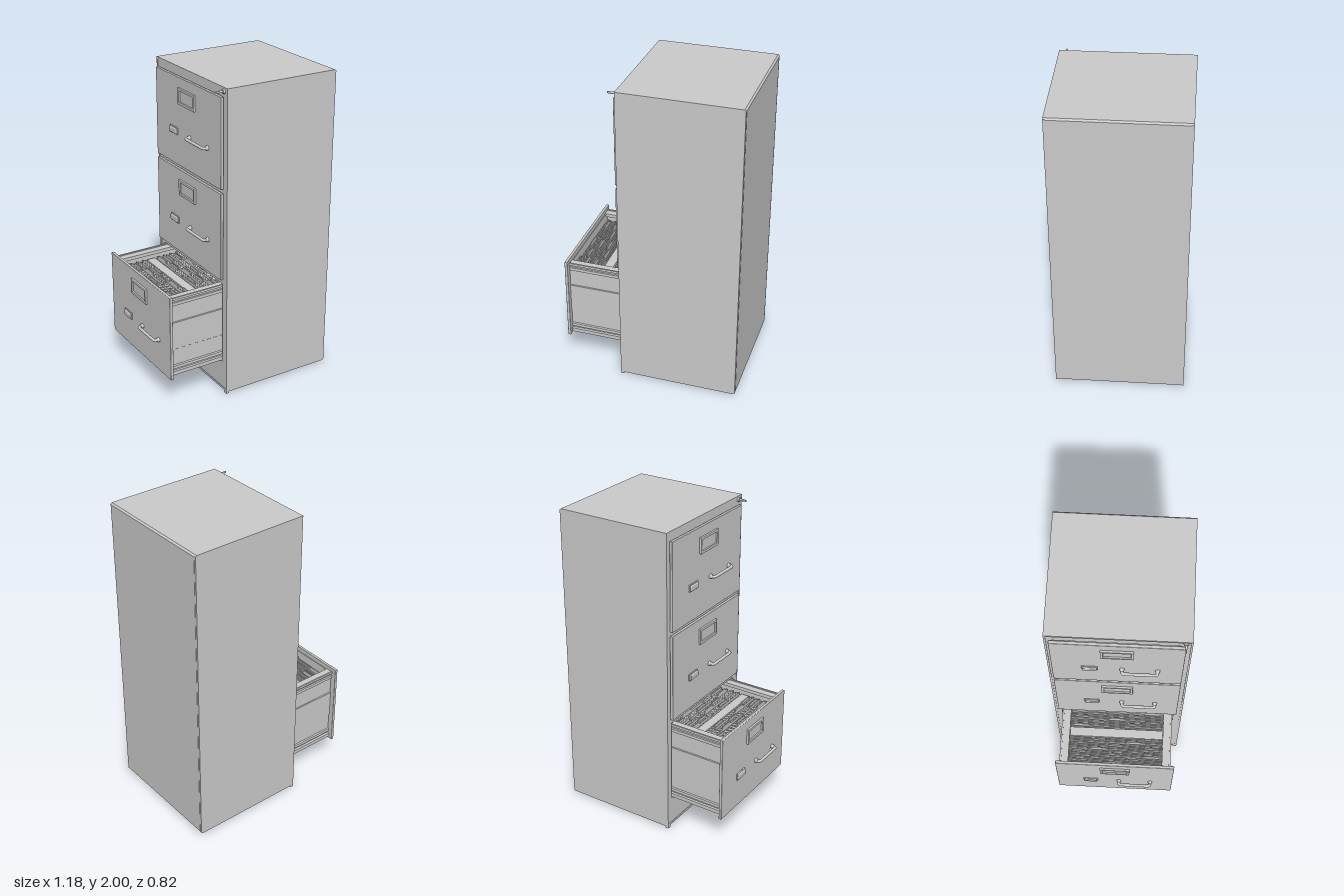
import * as THREE from 'three';
import { RoundedBoxGeometry } from 'three/addons/geometries/RoundedBoxGeometry.js';

const grey = new THREE.MeshStandardMaterial({ color: 0xcccccc });
const ZC = -0.005; // the drawers sit slightly off the centre line

function add(parent, name, geometry) {
  const mesh = new THREE.Mesh(geometry, grey);
  mesh.name = name;
  parent.add(mesh);
  return mesh;
}

// Box given by its limits on each axis
function box(parent, name, [x0, x1], [y0, y1], [z0, z1], radius = 0) {
  const size = [x1 - x0, y1 - y0, z1 - z0];
  const geometry = radius ? new RoundedBoxGeometry(...size, 2, radius) : new THREE.BoxGeometry(...size);
  const mesh = add(parent, name, geometry);
  mesh.position.set((x0 + x1) / 2, (y0 + y1) / 2, (z0 + z1) / 2);
  return mesh;
}

const outline = (points) => new THREE.Shape(points.map((p) => new THREE.Vector2(...p)));
const rect = (w0, w1, h0, h1) => outline([[w0, h0], [w1, h0], [w1, h1], [w0, h1]]);

// Extrude a (-z, y) shape along x
function alongX(shape, x0, length) {
  return new THREE.ExtrudeGeometry(shape, { depth: length, bevelEnabled: false })
    .rotateY(Math.PI / 2).translate(x0, 0, 0);
}

function cabinet() {
  const g = new THREE.Group();
  g.name = 'cabinet';

  // Side plates, chamfered at the back edges
  const side = outline([[-0.175, 0.012], [0.58, 0.012], [0.588, 0.02], [0.588, 1.992], [0.58, 2], [-0.175, 2]]);
  for (const s of [-1, 1]) {
    const geometry = new THREE.ExtrudeGeometry(side, { depth: 0.012, bevelEnabled: false });
    add(g, 'sidePanel', geometry).position.z = s * 0.405 - 0.006;
  }

  // Top, back and bottom as one folded sheet
  const wrap = outline([[-0.175, 2], [0.58, 2], [0.59, 1.99], [0.59, 0.026], [0.58, 0.016], [-0.175, 0.016],
    [-0.175, 0.03], [0.575, 0.03], [0.575, 1.985], [-0.175, 1.985]]);
  add(g, 'topBackAndBottom', new THREE.ExtrudeGeometry(wrap, { depth: 0.798, bevelEnabled: false }))
    .position.z = -0.399;

  // Face frame with an opening for each drawer
  const frame = rect(-0.399, 0.399, 0.03, 1.985);
  for (const y of [0.2, 0.79, 1.38]) frame.holes.push(rect(-0.362 - ZC, 0.362 - ZC, y + 0.01, y + 0.555));
  add(g, 'faceFrame', alongX(frame, -0.172, 0.015));

  // Small front feet
  for (const s of [-1, 1]) box(g, 'foot', [-0.175, -0.155], [0, 0.016], [s * 0.398 - 0.013, s * 0.398 + 0.013]);

  // Lock and key
  const lock = add(g, 'lock', new THREE.CylinderGeometry(0.013, 0.015, 0.012, 20).rotateZ(Math.PI / 2));
  lock.position.set(-0.179, 1.977, 0.372);
  const stem = add(g, 'lockBarrel', new THREE.CylinderGeometry(0.007, 0.007, 0.03, 16).rotateZ(Math.PI / 2));
  stem.position.set(-0.193, 1.977, 0.372);
  box(g, 'key', [-0.23, -0.2], [1.971, 1.983], [0.369, 0.375], 0.002);
  return g;
}

// Front panel with its fittings; local x = 0 is the rear of the panel and y = 0 its bottom
function drawerFront() {
  const g = new THREE.Group();
  g.name = 'drawerFront';
  box(g, 'frontPanel', [-0.02, 0], [0, 0.565], [-0.38 + ZC, 0.38 + ZC], 0.004);

  // Label holder: bevelled frame around a recessed card
  const holder = rect(-0.095, 0.095, 0.4, 0.502);
  holder.holes.push(rect(-0.079, 0.079, 0.416, 0.486));
  const ring = new THREE.ExtrudeGeometry(holder, {
    depth: 0.011, bevelThickness: 0.003, bevelSize: 0.003, bevelOffset: -0.003, bevelSegments: 2,
  }).rotateY(Math.PI / 2);
  add(g, 'labelHolder', ring).position.set(-0.03, 0, ZC);
  box(g, 'labelCard', [-0.023, -0.018], [0.41, 0.49], [-0.085 + ZC, 0.085 + ZC]);

  // Thumb latch
  box(g, 'latchPlate', [-0.026, -0.016], [0.194, 0.242], [-0.212, -0.118], 0.004);
  box(g, 'latch', [-0.035, -0.016], [0.2, 0.236], [-0.207, -0.123], 0.006);

  // Bent bar handle with a collar at each foot
  const path = new THREE.CurvePath();
  const v = (x, z) => new THREE.Vector3(x, 0.218, z);
  path.add(new THREE.LineCurve3(v(-0.015, 0.023), v(-0.036, 0.023)));
  path.add(new THREE.QuadraticBezierCurve3(v(-0.036, 0.023), v(-0.051, 0.023), v(-0.051, 0.038)));
  path.add(new THREE.LineCurve3(v(-0.051, 0.038), v(-0.051, 0.214)));
  path.add(new THREE.QuadraticBezierCurve3(v(-0.051, 0.214), v(-0.051, 0.229), v(-0.036, 0.229)));
  path.add(new THREE.LineCurve3(v(-0.036, 0.229), v(-0.015, 0.229)));
  add(g, 'handle', new THREE.TubeGeometry(path, 80, 0.0095, 12));
  for (const z of [0.023, 0.229]) {
    const collar = add(g, 'handleFoot', new THREE.CylinderGeometry(0.016, 0.011, 0.02, 16).rotateZ(-Math.PI / 2));
    collar.position.set(-0.027, 0.218, z);
  }
  return g;
}

// Drawer box with pressed sides, folders and a divider
function drawerBox() {
  const g = new THREE.Group();
  g.name = 'drawerBox';
  const x0 = -0.535, length = 0.7, end = x0 + length;

  // Side section from bottom to top: rails, grooves and a raised middle band
  const section = [[0.335, 0.215], [0.355, 0.215], [0.355, 0.24], [0.338, 0.24], [0.338, 0.255], [0.35, 0.255],
    [0.35, 0.275], [0.342, 0.28], [0.342, 0.388], [0.347, 0.392], [0.347, 0.573], [0.342, 0.577],
    [0.342, 0.69], [0.35, 0.69], [0.35, 0.71], [0.338, 0.71], [0.338, 0.73], [0.355, 0.73],
    [0.355, 0.745], [0.345, 0.745], [0.345, 0.738], [0.3, 0.738], [0.3, 0.715], [0.308, 0.715],
    [0.308, 0.728], [0.325, 0.728], [0.325, 0.215]];
  for (const s of [-1, 1]) {
    const shape = outline(section.map(([w, y]) => [s * w, y]));
    add(g, 'drawerSide', alongX(shape, x0, length)).position.z = ZC;
  }
  box(g, 'drawerFloor', [x0, end], [0.215, 0.225], [-0.33 + ZC, 0.33 + ZC]);
  box(g, 'drawerBack', [end - 0.01, end], [0.22, 0.735], [-0.33 + ZC, 0.33 + ZC]);
  box(g, 'drawerFrontLiner', [x0, x0 + 0.008], [0.22, 0.735], [-0.33 + ZC, 0.33 + ZC]);

  // Divider between the two stacks of folders
  box(g, 'divider', [-0.338, -0.28], [0.225, 0.69], [-0.3 + ZC, 0.3 + ZC]);

  // Folders with staggered tabs
  let index = 0;
  for (const [from, to] of [[-0.522, -0.342], [-0.274, 0.14]]) {
    for (let x = from; x < to; x += 0.0115, index++) {
      const tab = -0.28 + (index * 2 % 5) * 0.115;
      const top = 0.682 + (index * 3 % 4) * 0.004;
      const folder = outline([[-0.3, 0.226], [0.3, 0.226], [0.3, top], [tab + 0.1, top],
        [tab + 0.092, top + 0.016], [tab + 0.008, top + 0.016], [tab, top], [-0.3, top]]);
      add(g, 'folder', alongX(folder, x, 0.0065)).position.z = ZC;
    }
  }
  return g;
}

export function createModel() {
  const model = new THREE.Group();
  model.name = 'filingCabinet';
  model.add(cabinet());

  // Two closed drawers above one pulled open
  for (const [x, y, name] of [[-0.177, 1.38, 'topDrawer'], [-0.177, 0.79, 'middleDrawer'], [-0.532, 0.2, 'bottomDrawer']]) {
    const drawer = new THREE.Group();
    drawer.name = name;
    const front = drawerFront();
    front.position.set(x, y, 0);
    drawer.add(front);
    if (name === 'bottomDrawer') drawer.add(drawerBox());
    model.add(drawer);
  }
  return model;
}
